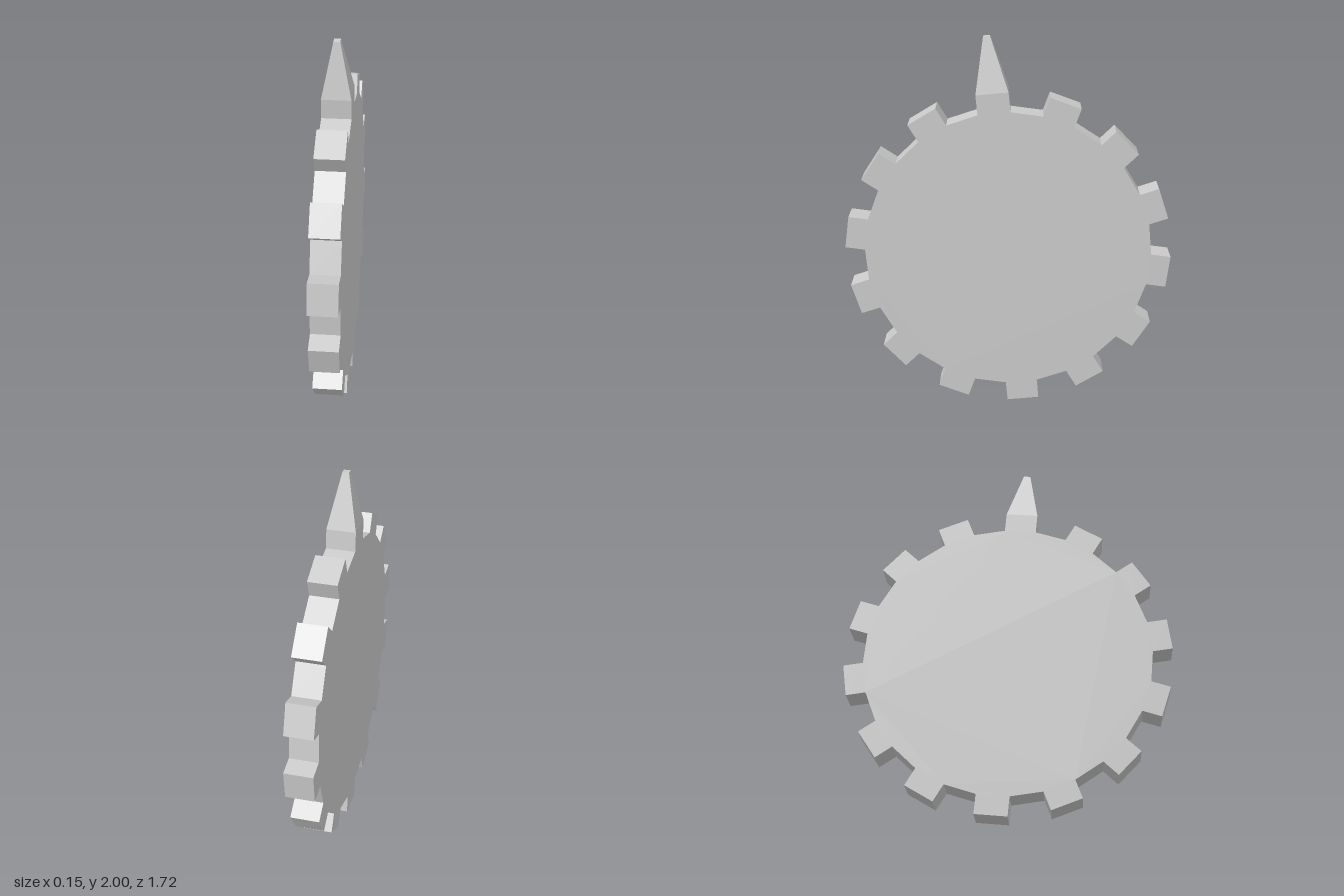
import * as THREE from 'three';

const TEETH = 14;
const STEP = (Math.PI * 2) / TEETH;
const TILT = THREE.MathUtils.degToRad(5.5); // angle of the spike tooth from +y toward +z
const RADIUS = 0.758;                       // corner radius of the 28-sided disc
const TOOTH_HALF = RADIUS * Math.sin(STEP / 4);
const TOOTH_TOP = 0.857;
const SPIKE_TOP = 1.143;
const THICKNESS = 0.152;
const CENTRE_Y = 0.861;

export function createModel() {
  const model = new THREE.Group();
  const material = new THREE.MeshStandardMaterial({ color: 0xcccccc, flatShading: true });

  // Wheel outline: each tooth is a straight block raised from every other disc facet
  const root = RADIUS * Math.cos(STEP / 4);
  const outline = [];
  for (let i = 0; i < TEETH; i++) {
    const a = TILT + i * STEP;
    const s = Math.sin(a), c = Math.cos(a);
    for (const [t, r] of [[-1, root], [-1, TOOTH_TOP], [1, TOOTH_TOP], [1, root]]) {
      const w = t * TOOTH_HALF;
      outline.push(new THREE.Vector2(r * s + w * c, r * c - w * s));
    }
  }
  const wheelGeometry = new THREE.ExtrudeGeometry(new THREE.Shape(outline), {
    depth: THICKNESS, bevelEnabled: false,
  });
  wheelGeometry.translate(0, 0, -THICKNESS / 2).rotateY(-Math.PI / 2);
  const wheel = new THREE.Mesh(wheelGeometry, material);
  wheel.name = 'toothedWheel';
  wheel.position.y = CENTRE_Y;
  model.add(wheel);

  // Spike: a box on the top tooth, narrowed to a small square tip
  const height = SPIKE_TOP - TOOTH_TOP;
  const spikeGeometry = new THREE.BoxGeometry(THICKNESS, height, TOOTH_HALF * 2);
  const p = spikeGeometry.attributes.position;
  for (let i = 0; i < p.count; i++) {
    if (p.getY(i) > 0) {
      p.setX(i, Math.sign(p.getX(i)) * 0.017);
      p.setZ(i, Math.sign(p.getZ(i)) * 0.018);
    }
  }
  spikeGeometry.translate(0, TOOTH_TOP + height / 2, 0);
  spikeGeometry.computeVertexNormals();
  const spike = new THREE.Mesh(spikeGeometry, material);
  spike.name = 'spike';
  spike.position.y = CENTRE_Y;
  spike.rotation.x = TILT;
  model.add(spike);

  return model;
}
